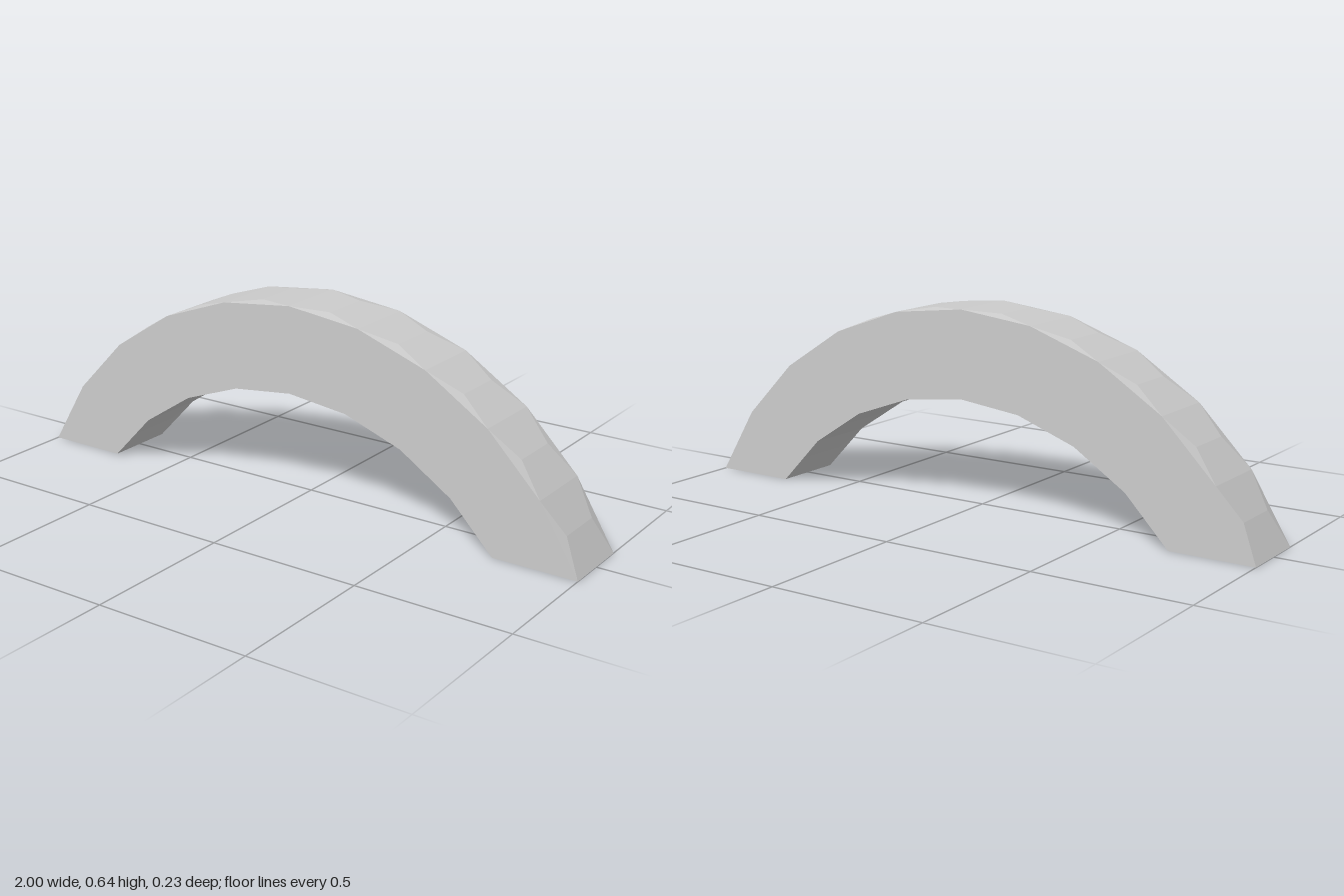
import * as THREE from 'three';

const HALF = 0.117; // half depth
const MID = 0.08; // half width of the finely divided middle band

// Points of a circular arc standing on y = 0, from +x over the top to -x
function arc(halfSpan, rise, segments) {
  const r = (halfSpan * halfSpan + rise * rise) / (2 * rise);
  const cy = rise - r;
  const start = Math.asin(-cy / r);
  return Array.from({ length: segments + 1 }, (_, i) => {
    const a = start + (Math.PI - 2 * start) * i / segments;
    return new THREE.Vector2(r * Math.cos(a), Math.max(0, r * Math.sin(a) + cy));
  });
}

// Curved strip: fine facets in the middle, coarse chords along both edges
function curvedStrip(halfSpan, rise, segments, inward) {
  const edge = arc(halfSpan, rise, segments);
  const mid = arc(halfSpan, rise, segments * 2);
  const pos = [];
  const at = (p, z) => [p.x, p.y, z];
  const tri = (a, b, c) => pos.push(...a, ...(inward ? c : b), ...(inward ? b : c));
  for (let i = 0; i < mid.length - 1; i++) {
    const a = at(mid[i], -MID), b = at(mid[i + 1], -MID);
    const c = at(mid[i + 1], MID), d = at(mid[i], MID);
    tri(a, b, c);
    tri(a, c, d);
  }
  for (let i = 0; i < segments; i++) {
    for (const s of [1, -1]) {
      const e0 = at(edge[i], s * HALF), e1 = at(edge[i + 1], s * HALF);
      const [m0, m1, m2] = [0, 1, 2].map(k => at(mid[2 * i + k], s * MID));
      const put = (a, b, c) => (s > 0 ? tri(a, b, c) : tri(a, c, b));
      put(m0, m1, e0);
      put(m1, e1, e0);
      put(m1, m2, e1);
    }
  }
  const g = new THREE.BufferGeometry();
  g.setAttribute('position', new THREE.Float32BufferAttribute(pos, 3));
  g.computeVertexNormals();
  return g;
}

export function createModel() {
  const group = new THREE.Group();
  group.name = 'arch';
  const material = new THREE.MeshStandardMaterial({ color: 0xcccccc, flatShading: true });
  const add = (name, geometry) => {
    const mesh = new THREE.Mesh(geometry, material);
    mesh.name = name;
    group.add(mesh);
    return mesh;
  };
  const outer = { span: 1, rise: 0.64, segments: 10 };
  const inner = { span: 0.725, rise: 0.36, segments: 8 };

  // Top and underside of the arch
  add('outerCurve', curvedStrip(outer.span, outer.rise, outer.segments, false));
  add('innerCurve', curvedStrip(inner.span, inner.rise, inner.segments, true));

  // Flat front and back
  const face = new THREE.ShapeGeometry(new THREE.Shape([
    ...arc(outer.span, outer.rise, outer.segments),
    ...arc(inner.span, inner.rise, inner.segments).reverse(),
  ]));
  add('frontFace', face).position.z = HALF;
  const back = add('backFace', face);
  back.position.z = -HALF;
  back.rotation.y = Math.PI;

  // Feet the arch stands on
  for (const s of [1, -1]) {
    const foot = new THREE.PlaneGeometry(outer.span - inner.span, 2 * HALF).rotateX(Math.PI / 2);
    add(s > 0 ? 'leftFoot' : 'rightFoot', foot).position.x = s * (outer.span + inner.span) / 2;
  }
  return group;
}
